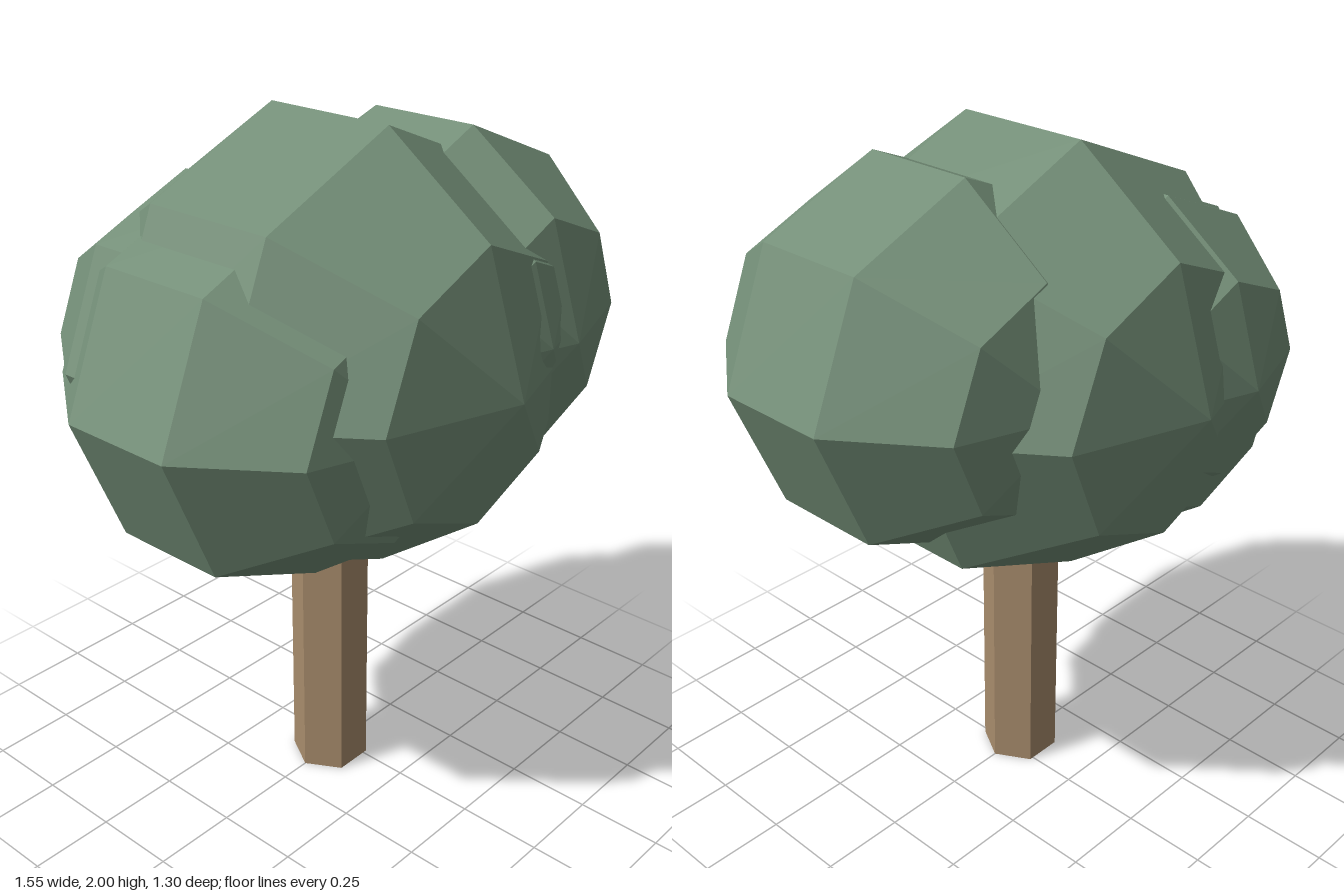
import * as THREE from 'three';

export function createModel() {
  const tree = new THREE.Group();
  tree.name = 'tree';

  const foliage = new THREE.MeshStandardMaterial({ color: 0x748f78, flatShading: true });
  foliage.name = 'foliageGreen';
  const bark = new THREE.MeshStandardMaterial({ color: 0xa88c6c, flatShading: true });
  bark.name = 'barkBrown';

  // Hexagonal trunk, its top hidden in the crown
  const trunk = new THREE.Mesh(
    new THREE.CylinderGeometry(0.115, 0.115, 1.1, 6).rotateY(Math.PI / 6),
    bark
  );
  trunk.name = 'trunk';
  trunk.position.set(-0.045, 0.55, 0);
  tree.add(trunk);

  // Crown: overlapping faceted balls with their poles facing front and back
  const crown = new THREE.Group();
  crown.name = 'crown';
  const balls = [
    ['mainFoliage', 0.65, -0.043, 1.382, 0],
    ['leftFoliage', 0.538, 0.26, 1.44, 0.067],
    ['rightFoliage', 0.56, -0.245, 1.312, -0.043],
    ['backFoliage', 0.47, -0.245, 1.39, -0.18],
    ['frontFoliage', 0.37, 0.14, 1.46, 0.235],
  ];
  for (const [name, radius, x, y, z] of balls) {
    const ball = new THREE.Mesh(
      new THREE.SphereGeometry(radius, 8, 5).rotateX(Math.PI / 2),
      foliage
    );
    ball.name = name;
    ball.position.set(x, y, z);
    crown.add(ball);
  }
  tree.add(crown);
  return tree;
}
